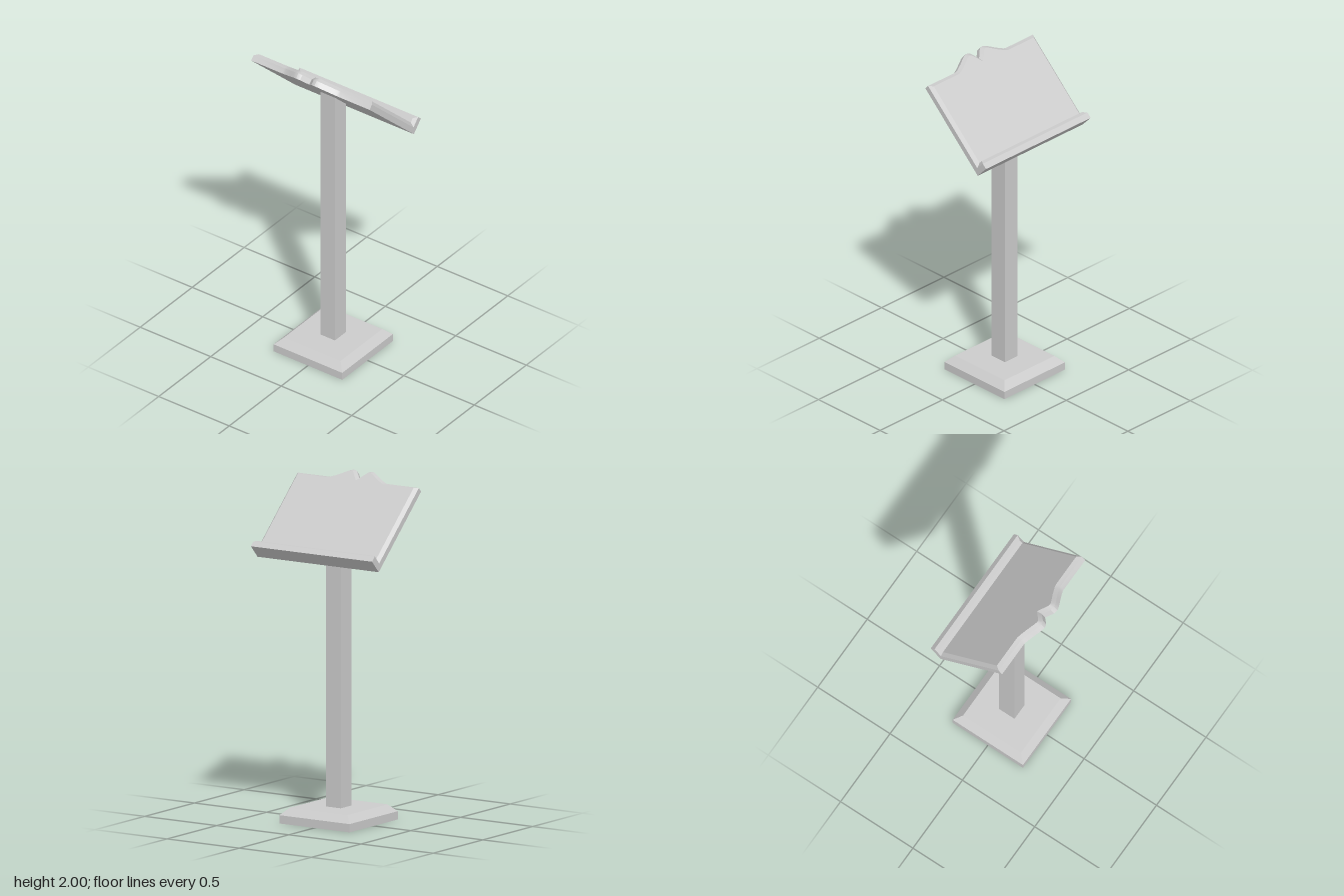
import * as THREE from 'three';
import { toCreasedNormals } from 'three/addons/utils/BufferGeometryUtils.js';

const SLOPE = 0.757;          // tilt of the reading board, radians
const FRONT = [0.206, 1.524]; // lowest corner of the board
const DX = Math.cos(SLOPE), DY = Math.sin(SLOPE);
const BEVEL = 0.019;

// board space: u runs down the slope, v is the height above the underside
const place = (u, v, z) => [FRONT[0] + u * DX + v * DY, FRONT[1] - u * DY + v * DX, z];

function boardGeometry() {
  // upper edge as [z, u]: straight shoulder, swell, notch in the middle
  const half = [[0.42, -0.586], [0.2, -0.586], [0.185, -0.591], [0.165, -0.601], [0.14, -0.615],
    [0.115, -0.631], [0.095, -0.643], [0.08, -0.651], [0.065, -0.655], [0.052, -0.653], [0.04, -0.648]];
  const edge = [...half.map(([z, u]) => [-z, u]), [0, -0.6], ...half.slice().reverse()];
  const last = edge.length - 1;

  // mitred inset of the upper edge
  const inset = edge.map(([z, u], i) => {
    if (i === 0 || i === last) return [Math.sign(z) * (0.42 - BEVEL), u + BEVEL];
    const normal = (a, b) => new THREE.Vector2(a[1] - b[1], b[0] - a[0]).normalize();
    const n1 = normal(edge[i - 1], edge[i]), n2 = normal(edge[i], edge[i + 1]);
    const m = n1.clone().add(n2).normalize();
    m.multiplyScalar(BEVEL / m.dot(n1));
    return [z + m.x, u + m.y];
  });

  // cross-sections from one end to the other
  const rings = edge.map(([z, u], i) => {
    const [zi, ui] = inset[i];
    return [[0, 0, z], [0, 0.098, z], [-0.036, 0.098, z], [-0.055, 0.079, zi],
      [-0.055, 0.052, zi], [ui, 0.052, zi], [u, 0.033, z], [u, 0, z]].map((p) => place(...p));
  });
  const pos = [];
  const quad = (a, b, c, d) => pos.push(...a, ...b, ...c, ...a, ...c, ...d);
  for (let i = 0; i < last; i++) {
    for (let j = 0; j < 8; j++) {
      const k = (j + 1) % 8;
      quad(rings[i][j], rings[i][k], rings[i + 1][k], rings[i + 1][j]);
    }
  }

  // end faces with their bevels
  for (const side of [-1, 1]) {
    const r = rings[side > 0 ? last : 0], z = side * 0.42;
    const face = (a, b, c, d) => (side > 0 ? quad(a, b, c, d) : quad(d, c, b, a));
    const foot = place(-0.036, 0, z), corner = place(-0.036, 0.033, z);
    face(r[0], r[1], r[2], foot);
    face(foot, corner, r[6], r[7]);
    face(r[2], r[3], r[4], corner);
    face(corner, r[4], r[5], r[6]);
  }
  const g = new THREE.BufferGeometry();
  g.setAttribute('position', new THREE.Float32BufferAttribute(pos, 3));
  return toCreasedNormals(g, 0.35);
}

// box whose top vertices are moved by a rule
function shapedBox(w, h, d, y, rule) {
  const g = new THREE.BoxGeometry(w, h, d).translate(0, y + h / 2, 0);
  const p = g.attributes.position;
  for (let i = 0; i < p.count; i++) {
    if (p.getY(i) > y + h / 2) p.setXYZ(i, ...rule(p.getX(i), p.getY(i), p.getZ(i)));
  }
  const flat = g.toNonIndexed();
  flat.computeVertexNormals();
  return flat;
}

export function createModel() {
  const group = new THREE.Group();
  const material = new THREE.MeshStandardMaterial({ color: 0xcccccc });
  const add = (name, geometry) => {
    const mesh = new THREE.Mesh(geometry, material);
    mesh.name = name;
    group.add(mesh);
  };

  // foot: square slab with a chamfered upper half
  add('base', new THREE.BoxGeometry(0.486, 0.048, 0.486).translate(0, 0.024, 0));
  const s = 0.2 / 0.243;
  add('baseChamfer', shapedBox(0.486, 0.042, 0.486, 0.048, (x, y, z) => [x * s, y, z * s]));

  // post, cut at the slope of the board
  add('post', shapedBox(0.107, 1.6, 0.103, 0.09,
    (x, y, z) => [x, FRONT[1] + (FRONT[0] - x) * Math.tan(SLOPE), z]));

  // tilted board with its book ledge
  add('readingBoard', boardGeometry());
  return group;
}
